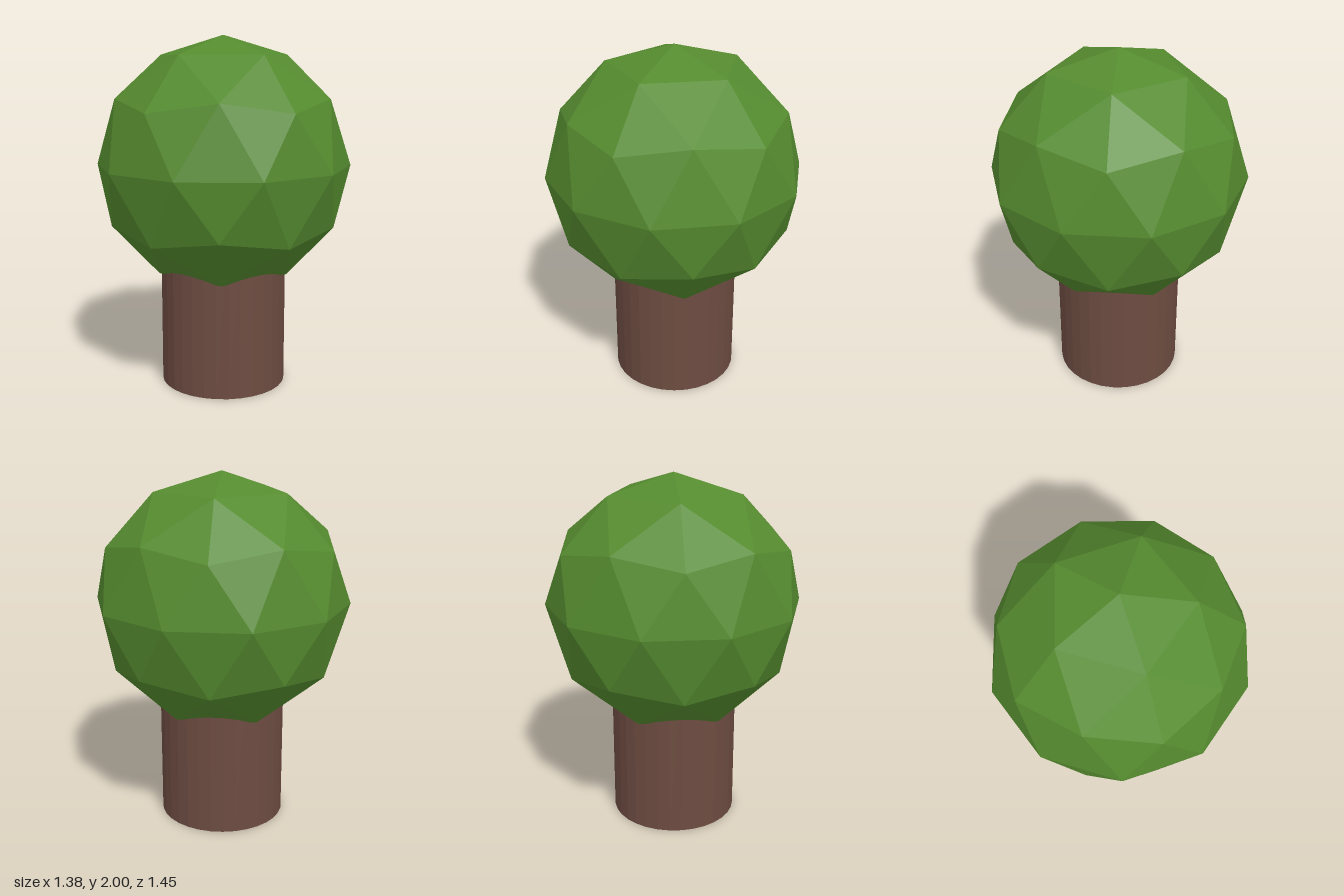
import * as THREE from 'three';

const CROWN_RADIUS = 0.724;
const TRUNK_RADIUS = 0.36;
const TRUNK_HEIGHT = 1.0;

function addPart(group, name, geometry, color) {
  const material = new THREE.MeshStandardMaterial({ color, flatShading: true });
  const mesh = new THREE.Mesh(geometry, material);
  mesh.name = name;
  group.add(mesh);
}

export function createModel() {
  const tree = new THREE.Group();
  tree.name = 'tree';

  // Trunk: faceted cylinder whose upper end is buried in the crown
  const trunk = new THREE.CylinderGeometry(TRUNK_RADIUS, TRUNK_RADIUS, TRUNK_HEIGHT, 32);
  trunk.translate(0, TRUNK_HEIGHT / 2, 0);
  addPart(tree, 'trunk', trunk, 0x6d4c41);

  // Crown: once-subdivided icosahedron, tilted so that one corner points straight up
  const goldenRatio = (1 + Math.sqrt(5)) / 2;
  const crown = new THREE.IcosahedronGeometry(CROWN_RADIUS, 1);
  crown.rotateZ(-Math.atan(1 / goldenRatio));
  crown.translate(0, 2 - CROWN_RADIUS, 0);
  addPart(tree, 'crown', crown, 0x558b2f);

  return tree;
}
